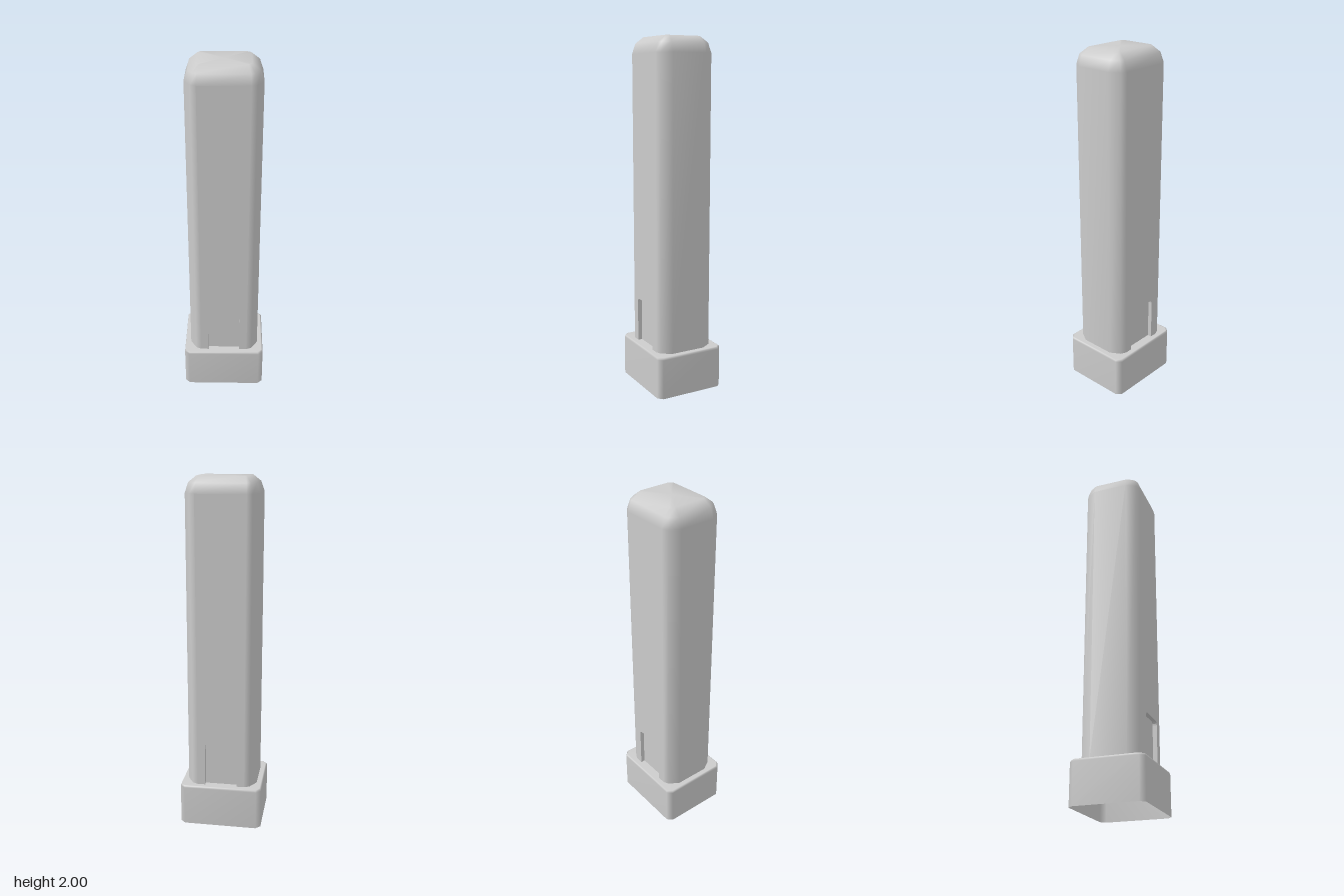
import * as THREE from 'three';

const BASE_H = 0.243, SHOULDER = 1.91, HX = 0.203, HZ = 0.172;
const FACE_X = 0.138, RECESS = 0.025;
const mat = new THREE.MeshStandardMaterial({ color: 0xcccccc, side: THREE.DoubleSide });

// Rectangle with cut corners, counter-clockwise from above.
// corner: insets [dx, dz] from the rectangle's corner, running from the x side to the z side.
function outline(hx, hz, corner, cut) {
  const quarter = corner.map(([dx, dz]) => [hx - dx * cut, hz - dz * cut]);
  const points = [];
  [[1, -1], [-1, -1], [-1, 1], [1, 1]].forEach(([sx, sz], q) => {
    const part = q % 2 ? [...quarter].reverse() : quarter;
    part.forEach(([x, z]) => points.push([x * sx, z * sz]));
  });
  return points;
}

// Smooth stack of outlines with a closed top; rings: [y, inset, corner scale].
// Wall faces listed in skip are left open between the first two rings.
function loft(hx, hz, corner, rings, skip = []) {
  const pos = [], index = [], open = [];
  rings.forEach(([y, inset, cut]) => {
    outline(hx - inset, hz - inset, corner, cut).forEach(([x, z]) => pos.push(x, y, z));
  });
  const n = corner.length * 4, last = (rings.length - 1) * n, centre = rings.length * n;
  pos.push(0, rings[rings.length - 1][0], 0);
  for (let r = 0; r < rings.length - 1; r++) {
    for (let i = 0; i < n; i++) {
      const a = r * n + i, b = r * n + (i + 1) % n;
      const quad = [a, b, b + n, a, b + n, a + n];
      index.push(...quad);
      if (!(r === 0 && skip.includes(i))) open.push(...quad);
    }
  }
  for (let i = 0; i < n; i++) {
    const cap = [centre, last + i, last + (i + 1) % n];
    index.push(...cap);
    open.push(...cap);
  }
  const g = new THREE.BufferGeometry();
  g.setAttribute('position', new THREE.Float32BufferAttribute(pos, 3));
  g.setIndex(index);
  g.computeVertexNormals(); // normals include the skipped faces, so seams stay smooth
  g.setIndex(open);
  return g;
}

function mesh(name, geometry) {
  const m = new THREE.Mesh(geometry, mat);
  m.name = name;
  return m;
}

// Flat wall with a round-cornered door recess at its foot
function doorWall(name) {
  const w = 0.092, top = 0.5, r = 0.02;
  const s = new THREE.Shape();
  s.moveTo(-FACE_X, BASE_H);
  s.lineTo(-w, BASE_H);
  s.lineTo(-w, top - r);
  s.quadraticCurveTo(-w, top, -w + r, top);
  s.lineTo(w - r, top);
  s.quadraticCurveTo(w, top, w, top - r);
  s.lineTo(w, BASE_H);
  s.lineTo(FACE_X, BASE_H);
  s.lineTo(FACE_X, SHOULDER);
  s.lineTo(-FACE_X, SHOULDER);
  s.closePath();
  const wall = mesh('wall', new THREE.ExtrudeGeometry(s, { depth: RECESS, bevelEnabled: false, curveSegments: 4 }));
  wall.position.z = HZ - RECESS;

  const door = mesh('door', new THREE.PlaneGeometry(2 * w + 0.02, top - BASE_H + 0.01));
  door.position.set(0, (top + BASE_H + 0.01) / 2, HZ - RECESS + 0.0005);

  const group = new THREE.Group();
  group.name = name;
  group.add(wall, door);
  return group;
}

export function createModel() {
  const model = new THREE.Group();
  model.name = 'tower';

  // Hollow plinth, open underneath
  model.add(mesh('base', loft(0.237, 0.206, [[0, 0.027], [0.027, 0]],
    [[0, 0, 1], [0.23, 0, 1], [0.24, 0.003, 1], [BASE_H, 0.009, 0.9]])));

  // Shaft with bevelled corners and rounded top; front and back walls are separate
  model.add(mesh('shaft', loft(HX, HZ, [[0, 0.072], [0.035, 0.015], [0.065, 0]],
    [[BASE_H, 0, 1], [SHOULDER, 0, 1], [1.965, 0.019, 0.75], [2, 0.062, 0.3]], [2, 8])));

  const front = doorWall('frontWall');
  const back = doorWall('backWall');
  back.rotation.y = Math.PI;
  model.add(front, back);
  return model;
}
